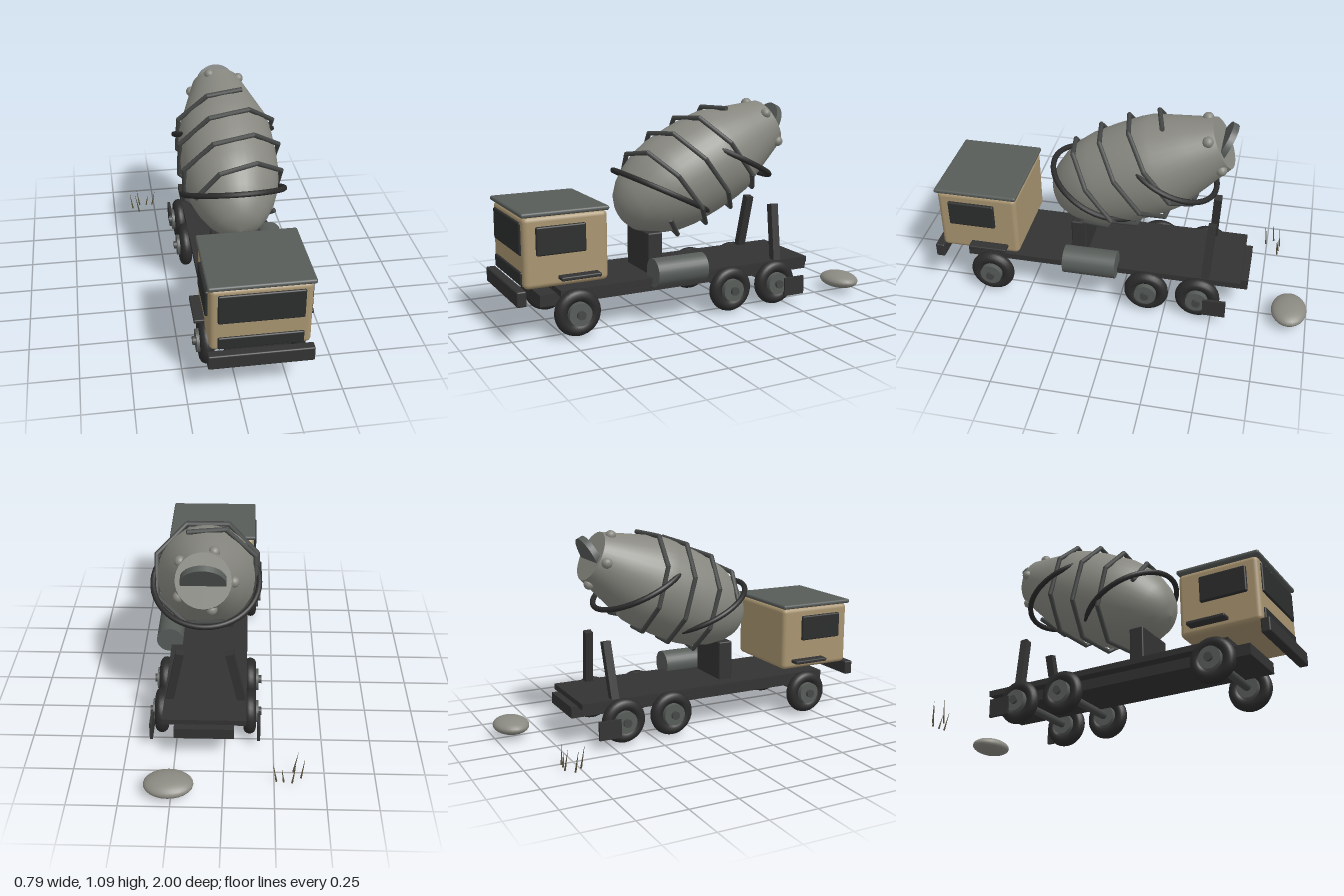
import * as THREE from 'three';
import { RoundedBoxGeometry } from 'three/addons/geometries/RoundedBoxGeometry.js';

const mat = (name, color, side = THREE.FrontSide) => {
  const m = new THREE.MeshStandardMaterial({ color, side });
  m.name = name;
  return m;
};

export function createModel() {
  const root = new THREE.Group();
  root.name = 'mixerTruck';
  const tan = mat('cabTan', 0xa89470);
  const dark = mat('chassisDark', 0x333333);
  const rubber = mat('tyreBlack', 0x2b2b2b);
  const glass = mat('windowBlack', 0x2c2d2d);
  const steel = mat('steelGrey', 0x575c59);
  const ribMat = mat('ribGrey', 0x454846);
  const drumMat = mat('drumGrey', 0x878780);
  const stone = mat('stoneGrey', 0x8b8a82);
  const straw = mat('dryGrass', 0x5a523e);
  const CX = 0.1; // centre line of the truck

  const add = (name, geo, material, x = 0, y = 0, z = 0, parent = root) => {
    const m = new THREE.Mesh(geo, material);
    m.name = name;
    m.position.set(x, y, z);
    parent.add(m);
    return m;
  };
  // Box given by its extents; optional rounded edges
  const box = (name, material, [x0, x1], [y0, y1], [z0, z1], r = 0) => {
    const s = [x1 - x0, y1 - y0, z1 - z0];
    const geo = r ? new RoundedBoxGeometry(...s, 3, r) : new THREE.BoxGeometry(...s);
    return add(name, geo, material, (x0 + x1) / 2, (y0 + y1) / 2, (z0 + z1) / 2);
  };
  const mid = (half) => [CX - half, CX + half];
  // Round bar between two points
  const bar = (name, a, b, r, material, sides, parent = root, r2 = r) => {
    const d = b.clone().sub(a);
    const m = add(name, new THREE.CylinderGeometry(r2, r, d.length(), sides), material, 0, 0, 0, parent);
    m.position.copy(a).add(b).multiplyScalar(0.5);
    m.quaternion.setFromUnitVectors(new THREE.Vector3(0, 1, 0), d.normalize());
    return m;
  };
  const V = (x, y, z) => new THREE.Vector3(x, y, z);

  // Cab
  box('cab', tan, mid(0.24), [0.27, 0.615], [0.533, 0.957], 0.025);
  box('roof', steel, mid(0.25), [0.615, 0.638], [0.528, 0.968], 0.01);
  box('windshield', glass, mid(0.203), [0.43, 0.587], [0.945, 0.967], 0.008);
  box('grille', glass, mid(0.203), [0.285, 0.35], [0.945, 0.967], 0.008);
  box('bumper', dark, mid(0.253), [0.197, 0.273], [0.952, 1.0], 0.008);
  for (const s of [-1, 1]) {
    const span = (a, b) => [CX + s * a, CX + s * b].sort((p, q) => p - q);
    box('sideWindow', glass, span(0.23, 0.255), [0.43, 0.568], [0.651, 0.898], 0.008);
    box('cabStep', dark, span(0.235, 0.292), [0.307, 0.326], [0.59, 0.792], 0.006);
    box('mudFlap', dark, span(0.267, 0.282), [0.054, 0.152], [-0.58, -0.46]);
  }

  // Chassis and deck
  box('chassis', dark, mid(0.149), [0.15, 0.209], [-0.68, 0.855]);
  box('deck', dark, mid(0.21), [0.205, 0.236], [-0.643, 0.769]);
  box('drumPedestal', dark, mid(0.13), [0.23, 0.445], [0.19, 0.27], 0.008);
  const tank = add('waterTank', new THREE.CylinderGeometry(0.073, 0.073, 0.279, 28), steel, 0.318, 0.265, 0.147);
  tank.rotation.x = Math.PI / 2;

  // Leaning rear posts
  for (const s of [-1, 1]) {
    const a = V(CX + s * 0.185, 0.225, -0.458);
    const b = V(CX + s * 0.122, 0.527, -0.475);
    const post = add('rearPost', new THREE.BoxGeometry(0.042, a.distanceTo(b), 0.042), dark);
    post.position.copy(a).add(b).multiplyScalar(0.5);
    post.quaternion.setFromUnitVectors(V(0, 1, 0), b.sub(a).normalize());
  }

  // Axles and wheels
  for (const z of [0.694, -0.153, -0.426]) {
    bar('axle', V(CX - 0.289, 0.125, z), V(CX + 0.289, 0.125, z), 0.022, ribMat, 16);
    for (const s of [-1, 1]) {
      const x = CX + s * 0.227;
      const tyre = add('tyre', new THREE.TorusGeometry(0.085, 0.033, 14, 32), rubber, x, 0.125, z);
      tyre.rotation.y = Math.PI / 2;
      bar('hub', V(x - 0.046, 0.125, z), V(x + 0.046, 0.125, z), 0.058, steel, 24);
    }
  }

  // Drum: local y runs along its axis, mouth at y = 0
  const drum = new THREE.Group();
  drum.name = 'drum';
  drum.position.set(CX, 0.952, -0.496);
  drum.rotation.x = -1.115;
  root.add(drum);
  const profile = [[0.965, 0], [0.955, 0.06], [0.93, 0.11], [0.88, 0.158], [0.81, 0.2], [0.73, 0.232],
    [0.64, 0.25], [0.5, 0.255], [0.38, 0.252], [0.31, 0.244], [0.15, 0.187], [0, 0.134]];
  add('drumShell', new THREE.LatheGeometry(profile.map(([t, r]) => new THREE.Vector2(r, -t)), 36),
    drumMat, 0, 0, 0, drum);
  add('drumMouth', new THREE.CircleGeometry(0.134, 36), drumMat, 0, 0, 0, drum).rotation.x = -Math.PI / 2;

  const radiusAt = (t) => {
    const i = profile.findIndex((p) => p[0] <= t);
    const [t0, r0] = profile[i - 1], [t1, r1] = profile[i];
    return r0 + ((r1 - r0) * (t - t0)) / (t1 - t0);
  };
  // Two spiral ribs, half a turn apart, made of straight lengths
  for (const start of [-67.5, 112.5]) {
    const pts = [];
    for (let i = 0; i <= 14; i++) {
      const t = 0.8 - (0.575 * i) / 14;
      const a = THREE.MathUtils.degToRad(start + 45 * i);
      const r = radiusAt(t) + 0.024;
      pts.push(V(r * Math.sin(a), -t, r * Math.cos(a)));
    }
    for (let i = 0; i < 14; i++) {
      const d = pts[i + 1].clone().sub(pts[i]).setLength(0.004);
      bar('spiralRib', pts[i].clone().sub(d), pts[i + 1].clone().add(d), 0.0125, ribMat, 8, drum);
    }
  }
  // Knobs around the neck
  for (let i = 0; i < 5; i++) {
    const a = THREE.MathUtils.degToRad(52 + 72 * i);
    add('neckKnob', new THREE.SphereGeometry(0.028, 14, 10), drumMat,
      0.143 * Math.sin(a), -0.035, 0.143 * Math.cos(a), drum);
  }

  // Tilted hoops round the drum, and the flap in its mouth
  for (const [y, z] of [[0.633, 0.137], [0.793, -0.233]]) {
    const hoop = add('drumHoop', new THREE.TorusGeometry(0.266, 0.0145, 10, 48), rubber, CX, y, z);
    hoop.rotation.x = 1.115;
  }
  const flap = add('mouthFlap', new THREE.CylinderGeometry(0.11, 0.11, 0.032, 32), steel, CX, 0.952, -0.5);
  flap.rotation.x = 1.107;

  // Stone and grass blades behind the truck
  add('stone', new THREE.SphereGeometry(1, 24, 16), stone, 0.262, 0.06, -0.907).scale.set(0.122, 0.043, 0.093);
  const blades = [[-0.384, -0.4, 0.11, -0.788], [-0.347, -0.37, 0.12, -0.746], [-0.339, -0.355, 0.107, -0.825],
    [-0.298, -0.287, 0.075, -0.82], [-0.262, -0.244, 0.1, -0.815]];
  for (const [x0, x1, h, z] of blades) {
    bar('grassBlade', V(x0, 0, z), V(x1, h, z + 0.012), 0.005, straw, 5, root, 0.0005);
  }
  return root;
}
